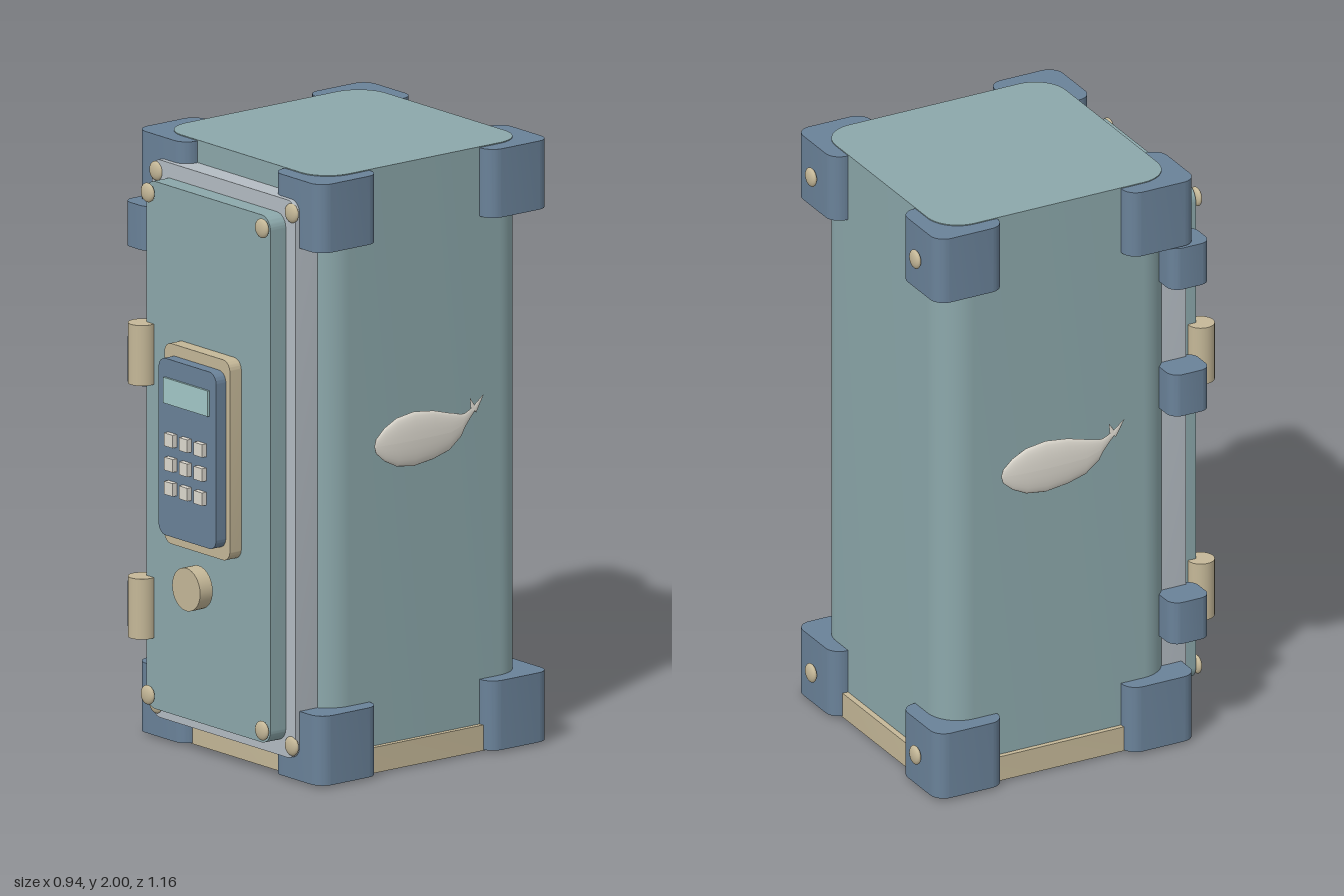
import * as THREE from 'three';
import { toCreasedNormals } from 'three/addons/utils/BufferGeometryUtils.js';

const paint = (color) => new THREE.MeshStandardMaterial({ color });

// Rounded rectangle centred on the origin, extruded along +z
function roundedSlab(w, h, depth, r) {
  const x = w / 2, y = h / 2, s = new THREE.Shape();
  s.moveTo(-x + r, -y);
  s.lineTo(x - r, -y);
  s.absarc(x - r, -y + r, r, -Math.PI / 2, 0);
  s.lineTo(x, y - r);
  s.absarc(x - r, y - r, r, 0, Math.PI / 2);
  s.lineTo(-x + r, y);
  s.absarc(-x + r, y - r, r, Math.PI / 2, Math.PI);
  s.lineTo(-x, -y + r);
  s.absarc(-x + r, -y + r, r, Math.PI, Math.PI * 1.5);
  const g = new THREE.ExtrudeGeometry(s, { depth, bevelEnabled: false, curveSegments: 8 });
  return toCreasedNormals(g, 0.6);
}

export function createModel() {
  const root = new THREE.Group();
  root.name = 'safe';
  const teal = paint(0x8ca8ab), blue = paint(0x6a8299), tan = paint(0xc5b898);
  const grey = paint(0xb4bcc3), ivory = paint(0xdedad0), glass = paint(0xa3c8c8);

  const add = (name, geometry, material, x = 0, y = 0, z = 0, parent = root) => {
    const m = new THREE.Mesh(geometry, material);
    m.name = name;
    m.position.set(x, y, z);
    parent.add(m);
    return m;
  };
  // Slab with vertical rounded edges, given by its extents
  const upright = (name, mat, [x0, x1], [y0, y1], [z0, z1], r) =>
    add(name, roundedSlab(x1 - x0, z1 - z0, y1 - y0, r).rotateX(-Math.PI / 2), mat,
      (x0 + x1) / 2, y0, (z0 + z1) / 2);
  // Slab lying in the front plane, given by its extents
  const facing = (name, mat, w, [y0, y1], [z0, z1], r) =>
    add(name, roundedSlab(w, y1 - y0, z1 - z0, r), mat, 0, (y0 + y1) / 2, z0);

  // Cabinet and base trim
  upright('body', teal, [-0.413, 0.413], [0, 2], [-0.5, 0.34], 0.11);
  upright('baseTrim', tan, [-0.43, 0.43], [0.005, 0.09], [-0.52, 0.36], 0.1);

  // Eight corner guards
  for (const side of [-1, 1])
    for (const [z0, z1] of [[-0.555, -0.307], [0.147, 0.395]])
      for (const [y0, y1] of [[0.008, 0.238], [1.77, 1.997]]) {
        const xs = side > 0 ? [0.221, 0.469] : [-0.469, -0.221];
        upright('cornerGuard', blue, xs, [y0, y1], [z0, z1], 0.05);
      }

  // Door frame and door
  facing('doorFrame', grey, 0.727, [0.08, 1.925], [0.32, 0.412], 0.04);
  facing('door', teal, 0.63, [0.13, 1.875], [0.41, 0.475], 0.045);

  // Flattened screw heads on frame, door and rear guards
  const screw = new THREE.SphereGeometry(0.032, 20, 12).scale(1, 1, 0.4);
  for (const side of [-1, 1]) {
    for (const y of [0.122, 1.885]) {
      add('frameScrew', screw, tan, side * 0.344, y, 0.411);
      add('rearScrew', screw, tan, side * 0.344, y, -0.568);
    }
    for (const y of [0.175, 1.837]) add('doorScrew', screw, tan, side * 0.29, y, 0.49);
  }

  // Hinges
  for (const y of [0.36, 1.17, 1.62])
    upright('hingeBlock', blue, [-0.475, -0.347], [y, y + 0.147], [0.3, 0.444], 0.04);
  const pin = new THREE.CylinderGeometry(0.045, 0.045, 0.2, 24);
  for (const y of [0.463, 1.302]) add('hingePin', pin, tan, -0.32, y, 0.49);

  // Keypad
  facing('keypadPlate', tan, 0.333, [0.712, 1.375], [0.47, 0.522], 0.035);
  facing('keypadHousing', blue, 0.292, [0.752, 1.337], [0.52, 0.562], 0.035);
  add('keypadScreen', new THREE.BoxGeometry(0.226, 0.085, 0.02), glass, 0, 1.233, 0.56);
  const key = new THREE.BoxGeometry(0.043, 0.043, 0.03);
  for (let row = 0; row < 3; row++)
    for (let col = -1; col <= 1; col++)
      add('keypadKey', key, ivory, col * 0.075, 1.075 - row * 0.08, 0.565);

  // Knob below the keypad
  const knob = new THREE.CylinderGeometry(0.071, 0.071, 0.052, 32).rotateX(Math.PI / 2);
  add('knob', knob, tan, 0, 0.595, 0.541);

  // Fish ornament: lathed profile, flattened, with the tail end bent upward
  const profile = [[0.008, -0.28], [0.016, -0.25], [0.024, -0.23], [0.037, -0.215], [0.062, -0.165],
    [0.08, -0.1], [0.09, -0.02], [0.08, 0.05], [0.055, 0.1], [0.024, 0.135], [0, 0.142]]
    .map(([r, t]) => new THREE.Vector2(r, t));
  const fishBody = new THREE.LatheGeometry(profile, 24);
  const p = fishBody.attributes.position;
  for (let i = 0; i < p.count; i++) {
    const x = p.getX(i), t = p.getY(i), z = p.getZ(i);
    p.setXYZ(i, z * 0.2, 1.085 + x + Math.max(0, -0.2 - t) * 0.85, t);
  }
  fishBody.computeVertexNormals();

  const fishOnSide = (name) => {
    const fish = new THREE.Group();
    fish.name = name;
    add('fishBody', fishBody, ivory, 0.432, 0, 0, fish);
    // Two tail fins spreading from the stem
    for (const [y, z] of [[1.187, -0.31], [1.182, -0.252]]) {
      const from = new THREE.Vector3(0.432, 1.138, -0.268), to = new THREE.Vector3(0.432, y, z);
      const dir = to.clone().sub(from), len = dir.length();
      const fin = add('tailFin', new THREE.ConeGeometry(0.013, len, 12).scale(0.3, 1, 1), ivory, 0, 0, 0, fish);
      fin.position.copy(from).addScaledVector(dir, 0.5);
      fin.rotation.x = Math.atan2(dir.z, dir.y);
    }
    root.add(fish);
    return fish;
  };
  fishOnSide('rightFish');
  const other = fishOnSide('leftFish');
  other.rotation.y = Math.PI;
  other.position.z = -0.16;

  return root;
}
